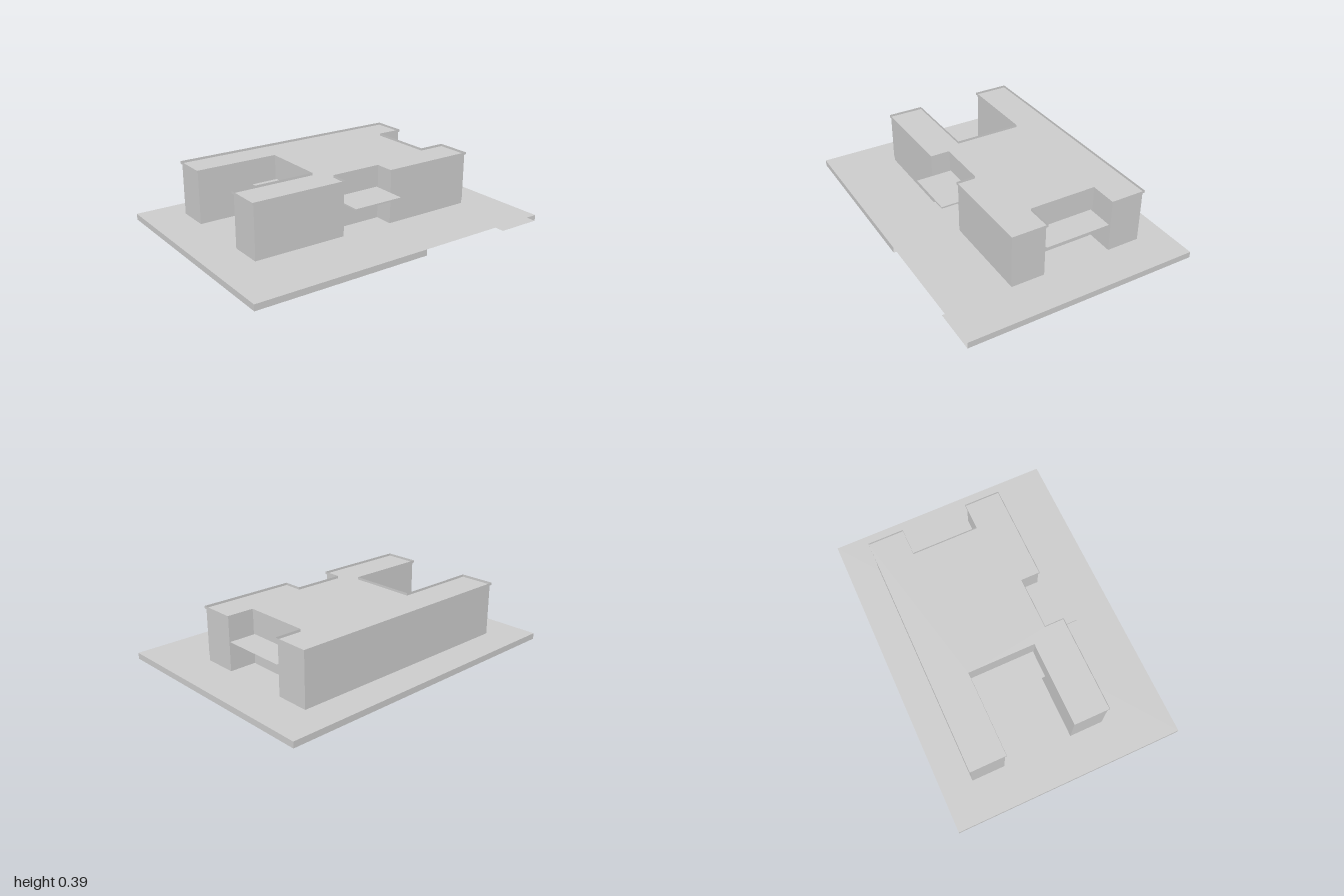
import * as THREE from 'three';

const mat = new THREE.MeshStandardMaterial({ color: 0xcccccc, side: THREE.DoubleSide });

function add(group, name, geometry, x = 0, y = 0, z = 0) {
  const mesh = new THREE.Mesh(geometry, mat);
  mesh.name = name;
  mesh.position.set(x, y, z);
  group.add(mesh);
}

// Vertical strip of flat walls along a ground path of [x, z] points
function band(points, y0, y1, closed = true) {
  const pos = [];
  const count = closed ? points.length : points.length - 1;
  for (let i = 0; i < count; i++) {
    const [ax, az] = points[i];
    const [bx, bz] = points[(i + 1) % points.length];
    pos.push(ax, y0, az, bx, y0, bz, bx, y1, bz, ax, y0, az, bx, y1, bz, ax, y1, az);
  }
  const geometry = new THREE.BufferGeometry();
  geometry.setAttribute('position', new THREE.Float32BufferAttribute(pos, 3));
  geometry.computeVertexNormals();
  return geometry;
}

// Horizontal sheet bounded by [x, z] points, facing up or down
function sheet(points, up = true) {
  const s = up ? -1 : 1;
  const shape = new THREE.Shape(points.map(([x, z]) => new THREE.Vector2(x, s * z)));
  return new THREE.ShapeGeometry(shape).rotateX(s * Math.PI / 2);
}

// H-shaped plan with an entrance notch, inset by i
function plan(i) {
  return [
    [-0.768 + i, 0.33 - i], [-0.165 - i, 0.33 - i], [-0.165 - i, 0.21 - i], [0.16 + i, 0.21 - i],
    [0.16 + i, 0.33 - i], [0.766 - i, 0.33 - i], [0.766 - i, 0.105 + i], [0.595 - i, 0.105 + i],
    [0.595 - i, -0.315 - i], [0.766 - i, -0.315 - i], [0.766 - i, -0.54 + i], [-0.768 + i, -0.54 + i],
    [-0.768 + i, -0.315 - i], [-0.24 + i, -0.315 - i], [-0.24 + i, 0.105 + i], [-0.768 + i, 0.105 + i],
  ];
}

export function createModel() {
  const model = new THREE.Group();
  model.name = 'building';

  // Ground slab: open along part of the front, with a gap in its underside
  const Z = 0.725, H = 0.038;
  add(model, 'groundTop', sheet([[-1, Z], [1, Z], [1, -Z], [-1, -Z]]), 0, H, 0);
  add(model, 'groundSides', band([[1, Z], [1, -Z], [-1, -Z], [-1, Z], [0.11, Z]], 0, H, false));
  add(model, 'groundUnderside', sheet([
    [-1, Z], [0.11, Z], [0.11, 0.42], [0.72, 0.42], [0.72, Z], [1, Z], [1, -Z], [-1, -Z],
  ], false));

  // Walls, flat roof and its thin raised edge
  const base = 0.047, eaves = 0.372, top = 0.387;
  add(model, 'walls', band(plan(0.008), base, eaves));
  add(model, 'roof', sheet(plan(0)), 0, eaves, 0);
  add(model, 'roofEdge', band(plan(0), eaves, top));

  // Slightly raised front panels above a low plinth
  for (const [x0, x1] of [[-0.76, -0.173], [0.168, 0.758]]) {
    add(model, 'frontPanel', new THREE.BoxGeometry(x1 - x0, eaves - 0.08, 0.004),
      (x0 + x1) / 2, (eaves + 0.08) / 2, 0.323);
  }

  // Entrance canopy and the two side canopies
  add(model, 'entranceCanopy', new THREE.BoxGeometry(0.325, 0.01, 0.23), -0.0025, 0.242, 0.315);
  const sideCanopy = (x0, x1) => sheet([[x0, 0.105], [x1, 0.105], [x1, -0.31], [x0, -0.31]]);
  add(model, 'leftCanopy', sideCanopy(0.587, 0.76), 0, 0.23, 0);
  add(model, 'rightCanopy', sideCanopy(-0.405, -0.232), 0, 0.23, 0);

  // Recessed side entrances under the canopies
  for (const x of [0.588, -0.233]) {
    add(model, 'sideEntrance', new THREE.BoxGeometry(0.004, 0.23 - base, 0.41), x, (0.23 + base) / 2, -0.1025);
  }
  return model;
}
